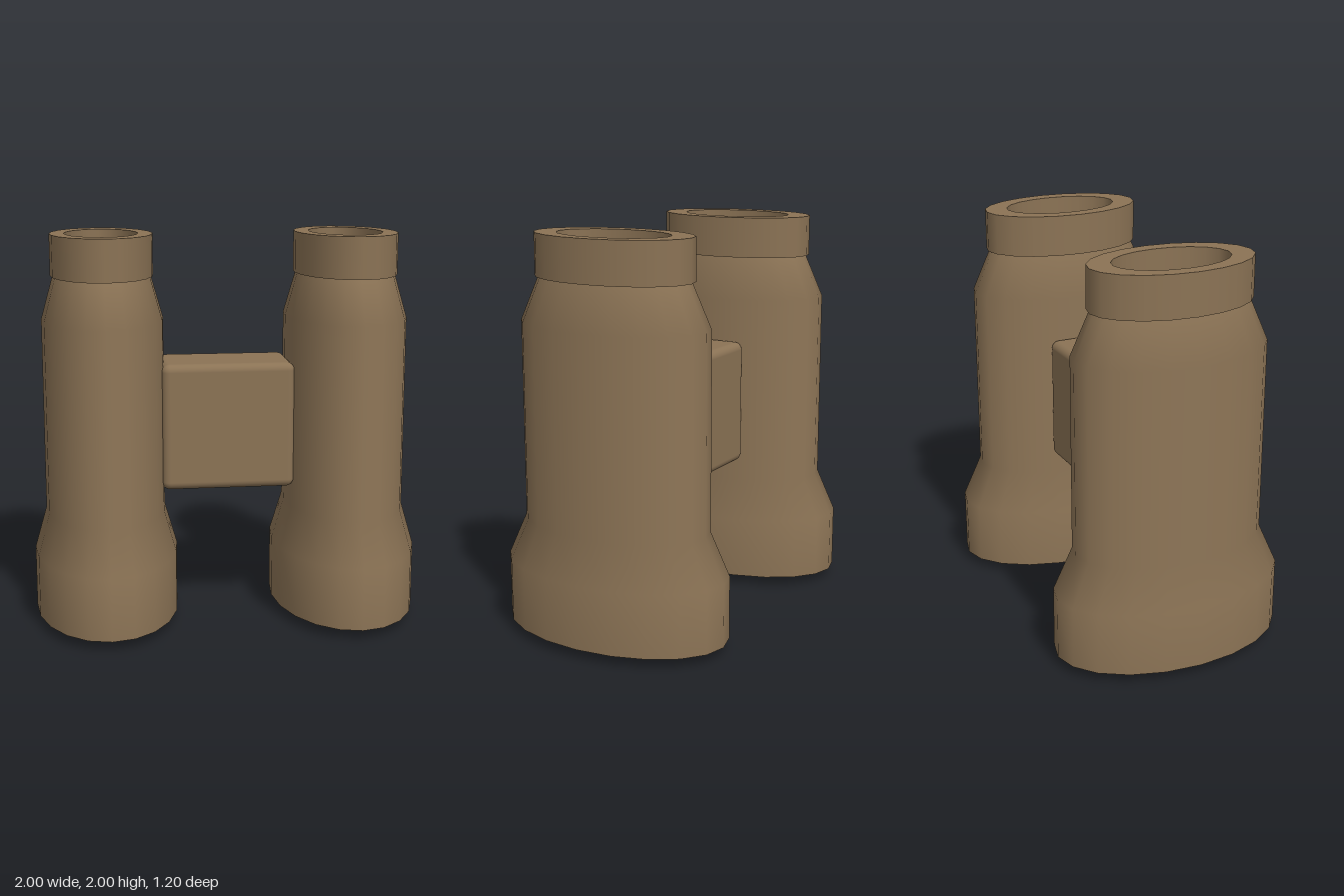
import * as THREE from 'three';
import { RoundedBoxGeometry } from 'three/addons/geometries/RoundedBoxGeometry.js';

const SIDES = 20;
const OVAL = 0.62; // width of the oval tubes relative to their depth

export function createModel() {
  const root = new THREE.Group();
  const brown = new THREE.MeshStandardMaterial({ color: 0x8b7355 });
  brown.name = 'brown casing';
  const dark = new THREE.MeshStandardMaterial({ color: 0x555556 });
  dark.name = 'dark glass';

  // Turned oval part; a profile of [radius, y] points, smooth along its length
  const turned = (name, profile, material) => {
    const points = profile.map(([r, y]) => new THREE.Vector2(r, y));
    const mesh = new THREE.Mesh(new THREE.LatheGeometry(points, SIDES), material);
    mesh.name = name;
    mesh.scale.x = OVAL;
    return mesh;
  };

  for (const [side, x] of [['left', 0.627], ['right', -0.627]]) {
    const tube = new THREE.Group();
    tube.name = side + 'Tube';
    tube.position.x = x;
    tube.add(
      // Main barrel, flared towards the objective
      turned('barrel', [[0.6, 0.05], [0.6, 0.37], [0.5, 0.585], [0.5, 1.57], [0.4, 1.79]], brown),
      turned('barrelEnd', [[0, 0.05], [0.6, 0.05]], brown),
      // Shallow domed objective lens
      turned('objectiveLens', [[0, 0], [0.13, 0.002], [0.26, 0.009], [0.39, 0.021], [0.5, 0.036]], dark),
      // Eyepiece ring with recessed floor
      turned('eyepieceUnderside', [[0.3, 1.79], [0.42, 1.79]], brown),
      turned('eyepieceWall', [[0.42, 1.79], [0.42, 2]], brown),
      turned('eyepieceRim', [[0.42, 2], [0.3, 2]], brown),
      turned('eyepieceBore', [[0.3, 2], [0.3, 1.84]], brown),
      turned('eyepieceFloor', [[0.3, 1.84], [0, 1.84]], brown),
    );
    root.add(tube);
  }

  // Block joining the two tubes
  const bridge = new THREE.Mesh(new RoundedBoxGeometry(0.68, 0.65, 0.4, 4, 0.04), brown);
  bridge.name = 'bridge';
  bridge.position.y = 1.025;
  root.add(bridge);

  return root;
}
